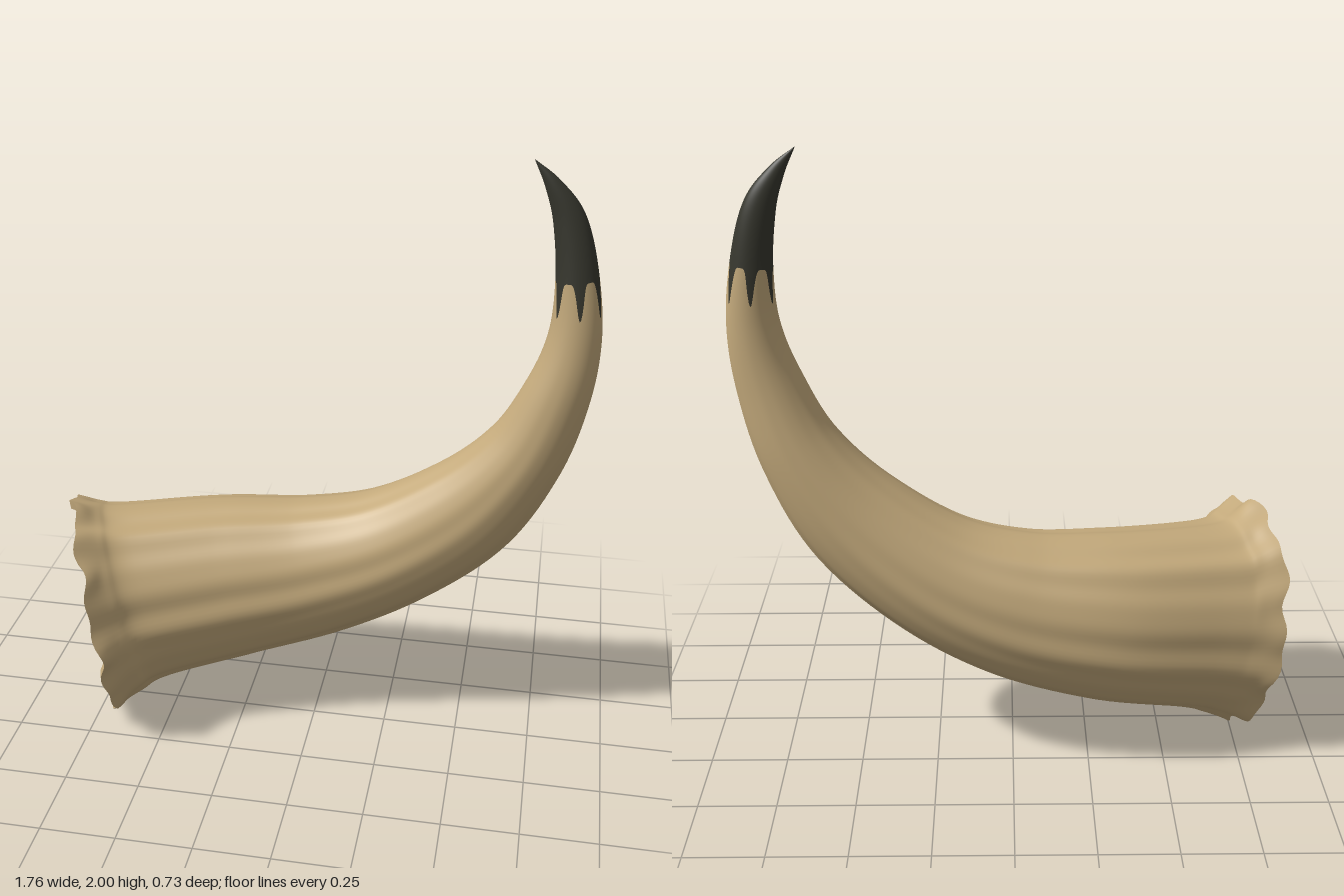
import * as THREE from 'three';

// Stations along the horn: centre x, y, z, half height, half width, sideways lean of the section
const STATIONS = [
  [-0.76, 0.40, 0.045, 0.395, 0.33, -0.33],
  [-0.69, 0.41, 0.005, 0.35, 0.295, -0.33],
  [-0.60, 0.425, -0.035, 0.32, 0.27, -0.31],
  [-0.31, 0.47, -0.11, 0.29, 0.25, -0.2],
  [-0.015, 0.53, -0.14, 0.25, 0.215, -0.07],
  [0.25, 0.64, -0.137, 0.21, 0.187, 0.03],
  [0.495, 0.825, -0.115, 0.18, 0.157, 0.08],
  [0.66, 1.045, -0.095, 0.135, 0.13, 0.06],
  [0.75, 1.27, -0.08, 0.105, 0.10, 0.03],
  [0.788, 1.46, -0.08, 0.082, 0.075, 0],
  [0.78, 1.65, -0.085, 0.065, 0.055, 0],
  [0.745, 1.82, -0.09, 0.05, 0.036, 0],
  [0.69, 1.925, -0.09, 0.026, 0.019, 0],
  [0.63, 2.0, -0.09, 0.0008, 0.0008, 0],
];
const curveOf = k => new THREE.CatmullRomCurve3(
  STATIONS.map(s => new THREE.Vector3(s[k], s[k + 1], s[k + 2])), false, 'catmullrom');
const spine = curveOf(0);
const sections = curveOf(3);
const SIDES = 120;

// Long grooves that fade toward the tip, and a ragged flare at the rim
function ripple(t, a) {
  const fade = 1 - THREE.MathUtils.smoothstep(t, 0.1, 0.75);
  const rim = 1 - THREE.MathUtils.smoothstep(t, 0, 0.1);
  return 1 + fade * (0.015 * Math.sin(11 * a + 0.5) + 0.009 * Math.sin(17 * a + 1) + 0.008 * Math.sin(5 * a))
    + rim * (0.015 * Math.cos(8 * a) + 0.013 * Math.cos(13 * a + 0.6));
}

// Point on the horn: a = 0 faces the front, a = 90 degrees the outer bend
function hornPoint(t, a, inset = 0) {
  const c = spine.getPoint(t), size = sections.getPoint(t);
  const T = spine.getTangent(t).setZ(0).normalize().setZ(size.z).normalize();
  const W = new THREE.Vector3(0, 0, 1).addScaledVector(T, -T.z).normalize();
  const U = new THREE.Vector3().crossVectors(W, T);
  const r = ripple(t, a);
  const rim = 1 - THREE.MathUtils.smoothstep(t, 0, 0.07);
  const jag = rim * (0.008 * Math.sin(9 * a + 1) + 0.007 * Math.sin(16 * a));
  return c.addScaledVector(W, Math.max(size.y * r - inset, 0) * Math.cos(a))
    .addScaledVector(U, -Math.max(size.x * r - inset, 0) * Math.sin(a))
    .addScaledVector(T, jag);
}

// Closed rings of points joined into a smooth skin
function loft(rows, pointAt, inward = false) {
  const pos = [], index = [];
  for (let i = 0; i <= rows; i++)
    for (let j = 0; j < SIDES; j++) pos.push(...pointAt(i, j / SIDES * Math.PI * 2).toArray());
  for (let i = 0; i < rows; i++)
    for (let j = 0; j < SIDES; j++) {
      const k = (j + 1) % SIDES;
      const a = i * SIDES + j, b = i * SIDES + k, c = a + SIDES, d = b + SIDES;
      if (inward) index.push(a, c, b, b, c, d);
      else index.push(a, b, c, b, d, c);
    }
  const g = new THREE.BufferGeometry();
  g.setAttribute('position', new THREE.Float32BufferAttribute(pos, 3));
  g.setIndex(index);
  g.computeVertexNormals();
  return g;
}

export function createModel() {
  const group = new THREE.Group();
  const tan = new THREE.MeshStandardMaterial({ color: 0xc4aa7c });
  tan.name = 'tan horn';
  const dark = new THREE.MeshStandardMaterial({ color: 0x37372e });
  dark.name = 'dark tip';
  const add = (name, geometry, material) => {
    const mesh = new THREE.Mesh(geometry, material);
    mesh.name = name;
    group.add(mesh);
  };

  // Outer skin: tan body and dark tip meet along six pointed teeth
  const BODY = 80, TIP = 28;
  const border = a => 0.769 - 0.046 * Math.pow(0.5 + 0.5 * Math.cos(6 * (a - 0.12)), 3);
  const skin = loft(BODY + TIP, (i, a) => {
    const b = border(a), v = i / BODY;
    const t = i <= BODY ? v * THREE.MathUtils.lerp(0.769, b, Math.pow(v, 6)) : b + (1 - b) * (i - BODY) / TIP;
    return hornPoint(t, a);
  });
  skin.addGroup(0, BODY * SIDES * 6, 0);
  skin.addGroup(BODY * SIDES * 6, TIP * SIDES * 6, 1);
  add('hornShell', skin, [tan, dark]);

  // Rim edge and the hollow inside, narrowing to a closed end
  const WALL = 0.03;
  add('rimEdge', loft(1, (i, a) => hornPoint(0, a, i * WALL), true), tan);
  add('hollowInside', loft(30, (i, a) => {
    const v = i / 30;
    return hornPoint(v * 0.5, a, WALL + 0.3 * Math.pow(v, 3));
  }, true), tan);

  return group;
}
